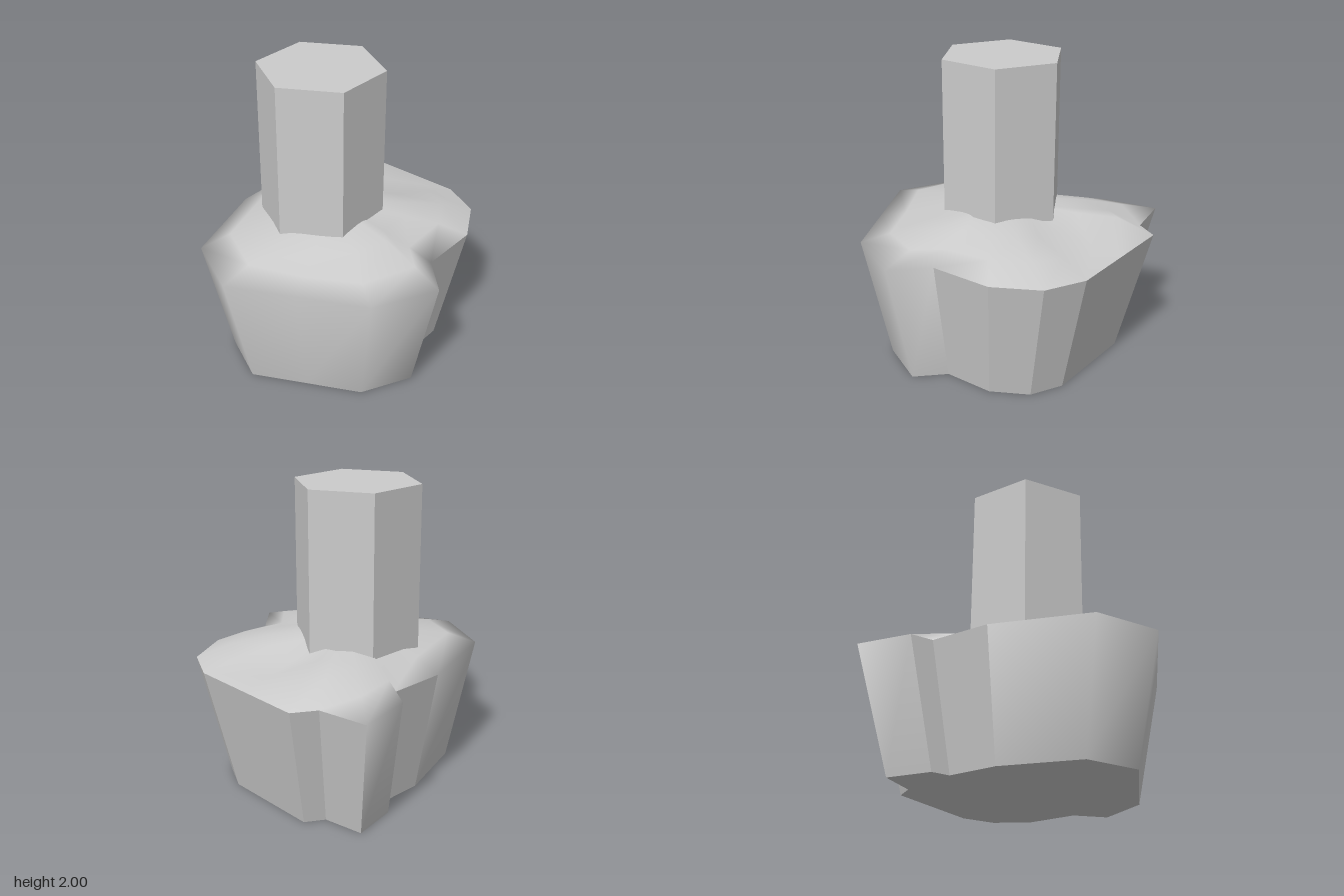
import * as THREE from 'three';

// Rim outline, counter-clockwise from above: x, z, outer slope height, inner slope height,
// and whether the wall that starts here blends smoothly into the top.
const rim = [
  [-0.74, -0.52, 0.92, 0.95, 1],
  [-0.94, -0.11, 0.90, 0.95, 1],
  [-0.73, 0.31, 0.87, 0.94, 1],
  [-0.52, 0.73, 0.88, 0.95, 1],
  [-0.11, 0.94, 0.91, 0.98, 1],
  [0.10, 0.73, 0.90, 0.96, 0],
  [0.52, 0.73, 0.92, 0.97, 0],
  [0.81, 0.57, 0.92, 0.97, 0],
  [0.94, 0.31, 0.90, 0.95, 0],
  [0.94, -0.10, 0.87, 0.91, 0],
  [0.94, -0.52, 0.95, 0.97, 0],
  [0.79, -0.61, 0.95, 0.97, 0],
  [0.73, -0.94, 0.90, 0.97, 1],
  [0.36, -0.87, 0.90, 0.97, 0],
  [0.30, -0.73, 0.92, 0.98, 0],
  [-0.11, -0.73, 0.92, 0.98, 1],
];
const RIM_Y = 0.84, FOOT = 0.8;
const N = rim.length;

function buildMesh(name, index, positions, flat) {
  let geo = new THREE.BufferGeometry();
  geo.setAttribute('position', new THREE.Float32BufferAttribute(positions, 3));
  geo.setIndex(index);
  if (flat) geo = geo.toNonIndexed();
  geo.computeVertexNormals();
  const mesh = new THREE.Mesh(geo, new THREE.MeshStandardMaterial({ color: 0xcccccc, flatShading: flat }));
  mesh.name = name;
  return mesh;
}

export function createModel() {
  const group = new THREE.Group();
  group.name = 'stumpWithPost';

  // Rings from the foot up over the rim to the crown of the mound
  const positions = [];
  const ring = (scale, height) => rim.forEach((p) => positions.push(p[0] * scale, height(p), p[1] * scale));
  ring(FOOT, () => 0);
  ring(1, () => RIM_Y);
  ring(0.78, (p) => p[2]);
  ring(0.52, (p) => p[3]);
  ring(0.28, () => 1.01);
  const crown = positions.length / 3;
  positions.push(0, 1.01, 0, 0, 0, 0);
  const footCentre = crown + 1;

  const smooth = [], walls = [], foot = [];
  const quad = (list, r, i, j) => {
    const a = r * N + i, b = r * N + j;
    list.push(a, b, b + N, a, b + N, a + N);
  };
  for (let i = 0; i < N; i++) {
    const j = (i + 1) % N;
    quad(rim[i][4] ? smooth : walls, 0, i, j);
    for (let r = 1; r < 4; r++) quad(smooth, r, i, j);
    smooth.push(4 * N + i, 4 * N + j, crown);
    foot.push(j, i, footCentre);
  }

  // Mound with rounded walls, hard cut walls and flat underside
  group.add(buildMesh('mound', smooth, positions, false));
  group.add(buildMesh('cutWalls', walls, positions, true));
  group.add(buildMesh('underside', foot, positions, true));

  // Six-sided post rising out of the mound
  const post = new THREE.Mesh(
    new THREE.CylinderGeometry(0.415, 0.415, 1.2, 6, 1, false, Math.PI / 6),
    new THREE.MeshStandardMaterial({ color: 0xcccccc, flatShading: true })
  );
  post.name = 'post';
  post.position.set(0, 1.4, -0.11);
  group.add(post);

  return group;
}
